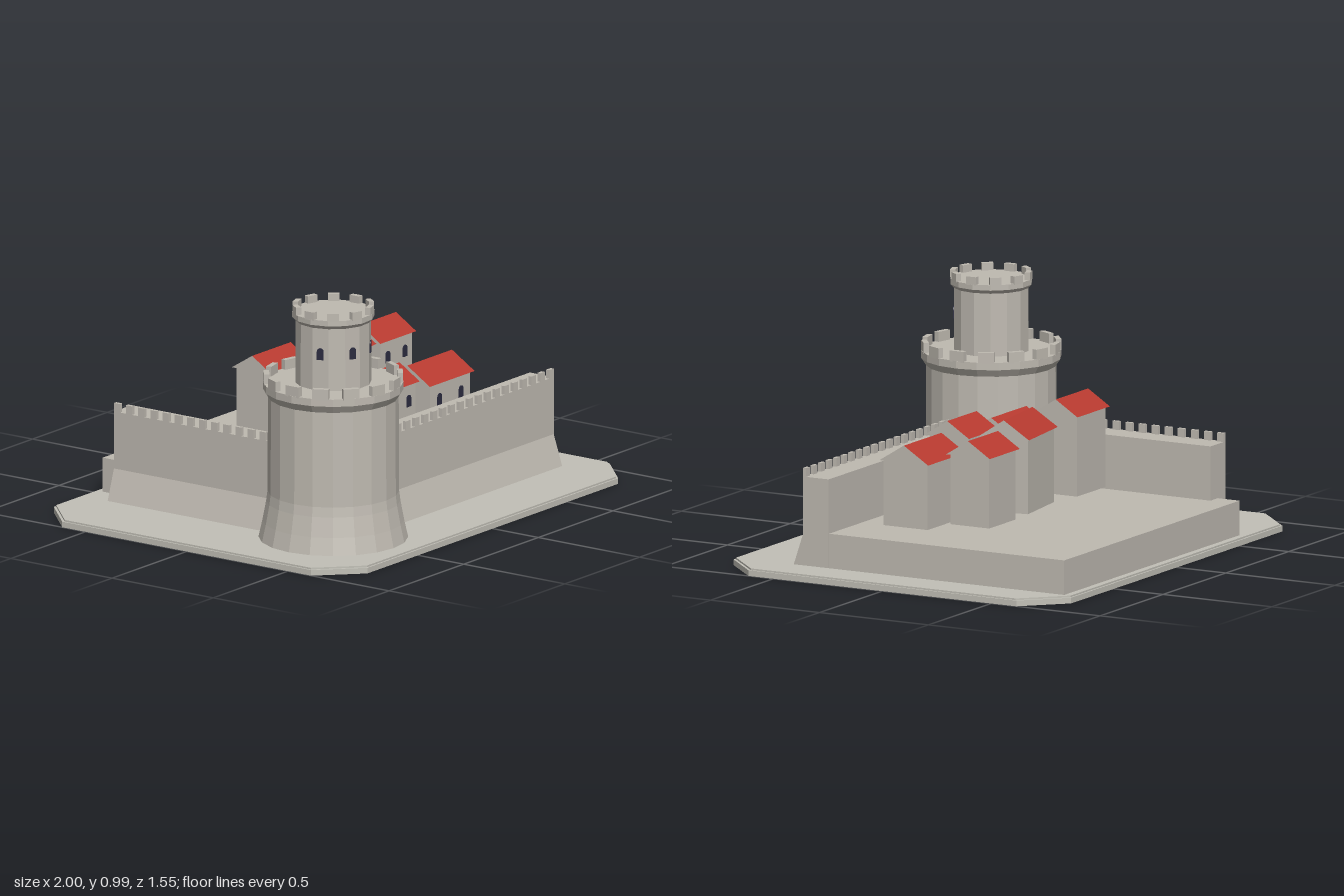
import * as THREE from 'three';

const mat = (name, color, extra = {}) =>
  Object.assign(new THREE.MeshStandardMaterial({ color, ...extra }), { name });

export function createModel() {
  const stone = mat('stone', 0xbfbab1, { flatShading: true });
  const paleStone = mat('pale stone', 0xc2c0b7, { flatShading: true });
  const roofRed = mat('roof red', 0xb83a30, { flatShading: true });
  const dark = mat('dark window', 0x2c2c40, { flatShading: true });

  const model = new THREE.Group();
  model.name = 'castle';

  const add = (parent, name, geometry, material, x = 0, y = 0, z = 0, ry = 0) => {
    const mesh = new THREE.Mesh(geometry, material);
    mesh.name = name;
    mesh.position.set(x, y, z);
    mesh.rotation.y = ry;
    parent.add(mesh);
    return mesh;
  };
  const group = (name, x, y, z, ry = 0) => {
    const g = new THREE.Group();
    g.name = name;
    g.position.set(x, y, z);
    g.rotation.y = ry;
    model.add(g);
    return g;
  };
  const shapeOf = (pts) => new THREE.Shape(pts.map(([x, y]) => new THREE.Vector2(x, y)));
  const extrude = (shape, depth) =>
    new THREE.ExtrudeGeometry(shape, { depth, bevelEnabled: false, curveSegments: 6 });

  // Ground slab with cut corners and a small stepped edge
  const slab = (inset, h) => {
    const x = 1 - inset, z = 0.775 - inset, c = 0.16;
    const g = extrude(shapeOf([[x, z - c], [x - c, z], [c - x, z], [-x, z - c],
      [-x, c - z], [c - x, -z], [x - c, -z], [x, c - z]]), h);
    return g.rotateX(-Math.PI / 2);
  };
  add(model, 'groundSlab', slab(0, 0.023), paleStone);
  add(model, 'groundSlabTop', slab(0.007, 0.03), paleStone);

  // Raised courtyard
  add(model, 'courtyard', new THREE.BoxGeometry(1.395, 0.15, 1.08), stone, 0.1375, 0.095, -0.2);

  // Curtain walls: sloped foot, flat walkway, merlons on the outer edge
  const curtainWall = (name, length, x, z, ry) => {
    const g = group(name, x, 0, z, ry);
    const profile = shapeOf([[0.045, 0.02], [0, 0.155], [0, 0.39], [-0.118, 0.39], [-0.118, 0.02]]);
    add(g, 'wallBody', extrude(profile, length), stone);
    const merlon = new THREE.BoxGeometry(0.015, 0.036, 0.03);
    for (let d = 0.015; d < length; d += 0.06) add(g, 'wallMerlon', merlon, stone, -0.0075, 0.407, d);
  };
  curtainWall('frontWall', 1.23, 0.835, 0.46, -Math.PI / 2);
  curtainWall('sideWall', 0.87, -0.62, 0.23, Math.PI);

  // Arched window plate, origin at its centre
  const w = 0.014, h = 0.024;
  const arch = shapeOf([[-w, -h], [w, -h], [w, h - w]]);
  arch.absarc(0, h - w, w, 0, Math.PI, false);
  const windowPlate = extrude(arch, 0.008).translate(0, 0, -0.004);

  // Round tower and turret
  const tower = group('tower', -0.56, 0, 0.4);
  const drum = (name, sides, profile, turn) => add(tower, name,
    new THREE.LatheGeometry(profile.map(([r, y]) => new THREE.Vector2(r, y)), sides), stone, 0, 0, 0, turn);
  const crown = (name, count, r, y, width, height) => {
    const merlon = new THREE.BoxGeometry(width, height, 0.022);
    for (let i = 0; i < count; i++) {
      const a = ((i + 0.5) / count) * Math.PI * 2;
      add(tower, name, merlon, stone, Math.sin(a) * r, y + height / 2, Math.cos(a) * r, a);
    }
  };
  drum('towerDrum', 20, [[0.3, 0.02], [0.282, 0.1], [0.267, 0.18], [0.262, 0.22], [0.26, 0.61],
    [0.28, 0.64], [0.28, 0.67], [0, 0.67]], 0);
  crown('towerMerlon', 14, 0.266, 0.665, 0.066, 0.045);
  const turretTurn = -0.168;
  drum('turretDrum', 14, [[0.152, 0.66], [0.151, 0.925], [0.165, 0.94], [0.165, 0.962], [0, 0.962]], turretTurn);
  crown('turretMerlon', 10, 0.152, 0.958, 0.046, 0.034);
  for (const k of [-2.5, -0.5, 1.5]) {
    const a = turretTurn + (k * Math.PI * 2) / 14;
    add(tower, 'turretWindow', windowPlate, dark, Math.sin(a) * 0.148, 0.82, Math.cos(a) * 0.148, a);
  }

  // Houses: box body, gabled roof with stone ends, two front windows
  const house = (x, z, width, depth, base, eave, rise, ry = 0) => {
    const g = group('house', x, 0, z, ry);
    const bodyDepth = depth - 0.022;
    add(g, 'houseBody', new THREE.BoxGeometry(width - 0.03, eave - base, bodyDepth), stone, 0, (eave + base) / 2);
    const gable = extrude(shapeOf([[-depth / 2, 0], [depth / 2, 0], [0, rise]]), width);
    gable.translate(0, 0, -width / 2).rotateY(Math.PI / 2);
    add(g, 'houseRoof', gable, [stone, roofRed], 0, eave);
    for (const s of [-1, 1]) {
      add(g, 'houseWindow', windowPlate, dark, s * width * 0.24, eave - 0.068, bodyDepth / 2);
    }
  };
  // Back row
  house(-0.162, -0.2, 0.258, 0.2, 0.23, 0.555, 0.063);
  house(0.238, -0.184, 0.297, 0.218, 0.23, 0.533, 0.073, 0.127);
  house(0.58, -0.22, 0.24, 0.2, 0.23, 0.515, 0.063);
  // Front row
  house(-0.24, 0.135, 0.28, 0.2, 0.165, 0.435, 0.063);
  house(0.098, 0.155, 0.235, 0.2, 0.165, 0.475, 0.063);
  house(0.44, 0.138, 0.3, 0.224, 0.165, 0.435, 0.07);

  return model;
}
